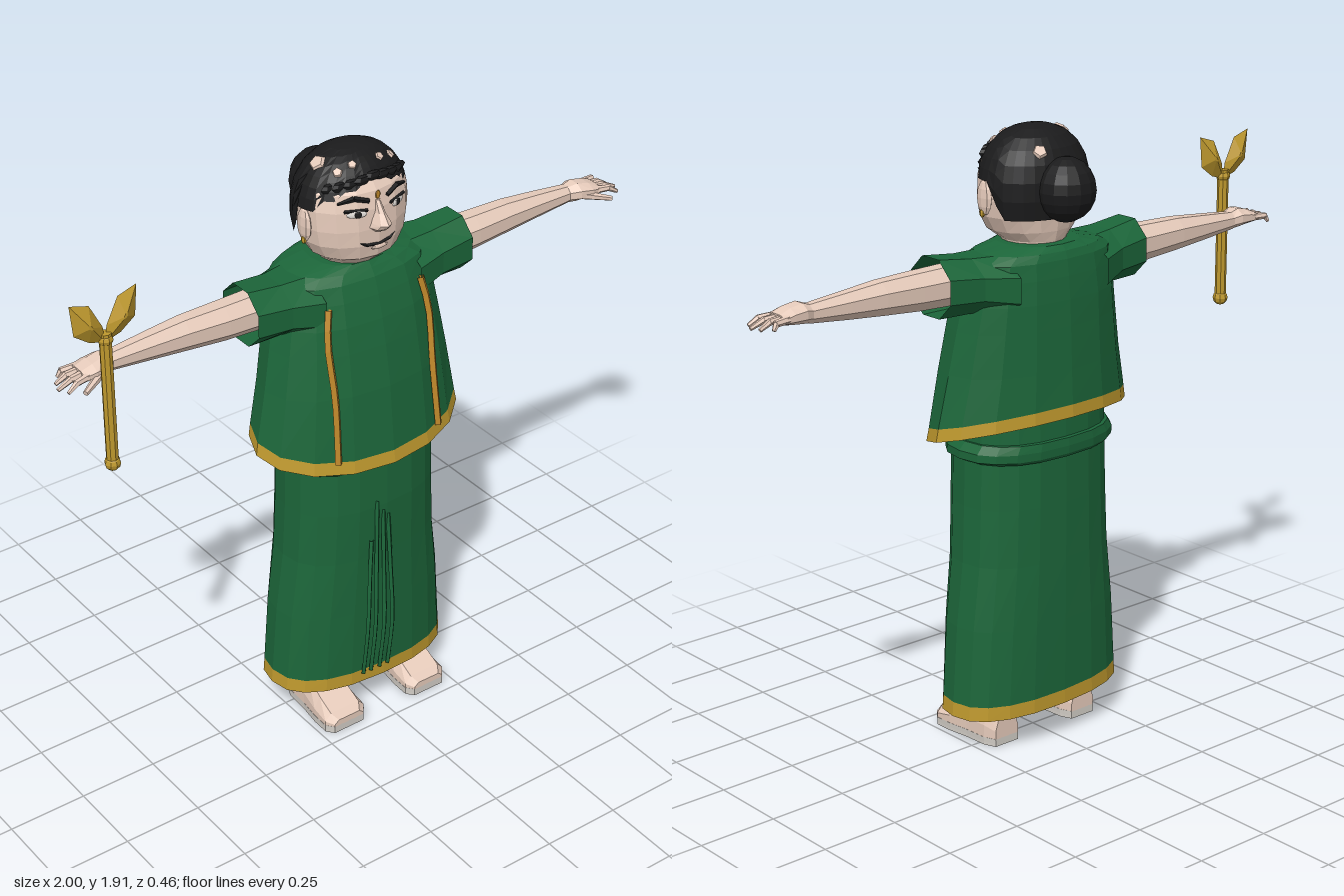
import * as THREE from 'three';

const mat = (name, color) => new THREE.MeshStandardMaterial({ name, color, side: THREE.DoubleSide });
const green = mat('green cloth', 0x1c663a), gold = mat('gold', 0xbf992e);
const bronze = mat('orange gold thread', 0xbd862a), skin = mat('skin', 0xe6cbbb);
const hairBlack = mat('hair black', 0x1b1b1c), white = mat('eye white', 0xf0ebe6);
const sole = mat('sole grey', 0xd2cdc6);

const spow = (v, p) => Math.sign(v) * Math.abs(v) ** p;
const V = (x, y, z) => new THREE.Vector3(x, y, z);

// Faceted mesh from any geometry
function add(parent, name, geo, material) {
  const g = geo.index ? geo.toNonIndexed() : geo;
  g.computeVertexNormals();
  const m = new THREE.Mesh(g, material);
  m.name = name;
  parent.add(m);
  return m;
}

// Surface through closed rings of points, optionally capped
function loft(rings, caps = false) {
  const pos = [], n = rings[0].length;
  const tri = (...ps) => ps.forEach(p => pos.push(p.x, p.y, p.z));
  for (let i = 0; i < rings.length - 1; i++)
    for (let j = 0; j < n; j++) {
      const k = (j + 1) % n, a = rings[i], b = rings[i + 1];
      tri(a[j], a[k], b[k]);
      tri(a[j], b[k], b[j]);
    }
  if (caps) [rings[0], rings.at(-1)].forEach((r, end) => {
    const c = r.reduce((s, p) => s.add(p), V(0, 0, 0)).divideScalar(n);
    for (let j = 0; j < n; j++) {
      const k = (j + 1) % n;
      end ? tri(c, r[j], r[k]) : tri(c, r[k], r[j]);
    }
  });
  const g = new THREE.BufferGeometry();
  g.setAttribute('position', new THREE.Float32BufferAttribute(pos, 3));
  return g;
}

// Upright ring: half width rx, depth from z0 to z1; y may depend on x and z
function ringY(y, rx, z0, z1, n = 16, p = 1) {
  return Array.from({ length: n }, (_, j) => {
    const a = j / n * Math.PI * 2;
    const x = rx * spow(Math.sin(a), p), z = (z0 + z1) / 2 + (z1 - z0) / 2 * spow(Math.cos(a), p);
    return V(x, typeof y === 'function' ? y(x, z) : y, z);
  });
}

// Ring across the x axis, for limbs
function ringX([x, yc, ry, zc, rz], n = 8) {
  return Array.from({ length: n }, (_, j) => {
    const a = (j + 0.5) / n * Math.PI * 2;
    return V(x, yc + ry * Math.cos(a), zc + rz * Math.sin(a));
  });
}

function rod(parent, name, a, b, r0, r1, material, sides = 6) {
  const m = add(parent, name, new THREE.CylinderGeometry(r1, r0, a.distanceTo(b), sides), material);
  m.position.copy(a).lerp(b, 0.5);
  m.quaternion.setFromUnitVectors(V(0, 1, 0), b.clone().sub(a).normalize());
  return m;
}

function blob(parent, name, r, pos, scale, material, w = 10, h = 8) {
  const m = add(parent, name, new THREE.SphereGeometry(r, w, h), material);
  m.position.set(...pos);
  m.scale.set(...scale);
  return m;
}

function makeClothes(root) {
  // Skirt with a gold border, running up under the tunic
  const S = (y, rx, z0, z1) => ringY(y, rx, z0, z1, 20, 0.82);
  const tilt = h => x => h - x * 0.025;
  const edge = S(tilt(0.165), 0.308, -0.15, 0.182);
  add(root, 'skirt', loft([edge, S(0.4, 0.29, -0.152, 0.186), S(0.6, 0.264, -0.153, 0.19),
    S(0.78, 0.255, -0.153, 0.195), S(0.98, 0.25, -0.15, 0.19), S(1.15, 0.25, -0.145, 0.17)]), green);
  add(root, 'skirtBorder', loft([S(tilt(0.12), 0.312, -0.15, 0.182), edge]), gold);
  add(root, 'waistband', loft([S(0.925, 0.255, -0.158, 0.193), S(0.935, 0.275, -0.163, 0.197),
    S(0.96, 0.275, -0.165, 0.197), S(0.985, 0.255, -0.163, 0.19), S(0.986, 0.24, -0.14, 0.17)]), green);

  // Narrow pleats at the front of the skirt
  [[-0.035, 0.8], [-0.012, 0.76], [0.006, 0.74], [-0.055, 0.66]].forEach(([x, top], i) => {
    const low = x * 1.45 + (i === 2 ? 0.005 : 0);
    const curve = new THREE.CatmullRomCurve3([V(x, top, 0.19), V((x + low) / 2, 0.55, 0.2),
      V(low, 0.35, 0.208), V(low, 0.16, 0.185)]);
    add(root, 'pleat', new THREE.TubeGeometry(curve, 10, 0.008, 4), green);
  });

  // Loose tunic, boxier at the shoulders, its hem rising towards the back
  const T = (y, rx, z0, z1, p = 0.85) => ringY(y, rx, z0, z1, 16, p);
  const hem = h => (x, z) => h - z * 0.26;
  const trim = T(hem(1.045), 0.349, -0.18, 0.225, 1);
  add(root, 'tunic', loft([trim, T(1.2, 0.315, -0.175, 0.203, 0.95), T(1.33, 0.29, -0.17, 0.18, 0.9),
    T(1.41, 0.274, -0.166, 0.163), T(1.48, 0.262, -0.16, 0.143), T(1.53, 0.254, -0.153, 0.125),
    T(1.553, 0.21, -0.145, 0.108), T(1.57, 0.125, -0.13, 0.095)], true), green);
  add(root, 'tunicBorder', loft([T(hem(1.006), 0.356, -0.182, 0.232, 1), trim]), gold);

  for (const s of [1, -1]) {
    const curve = new THREE.CatmullRomCurve3([V(s * 0.185, 0.995, 0.2), V(s * 0.178, 1.2, 0.176),
      V(s * 0.182, 1.38, 0.145), V(s * 0.165, 1.475, 0.126)]);
    add(root, 'tunicPiping', new THREE.TubeGeometry(curve, 8, 0.012, 4), bronze);
  }
}

function makeArm(root, side) {
  const arm = new THREE.Group();
  arm.name = side > 0 ? 'leftArm' : 'rightArm';
  arm.scale.x = side;
  root.add(arm);
  add(arm, 'sleeve', loft([[0.17, 1.46, 0.1, -0.01, 0.145], [0.27, 1.473, 0.088, 0, 0.11],
    [0.385, 1.48, 0.095, 0.005, 0.096]].map(r => ringX(r))), green);
  add(arm, 'forearm', loft([[0.28, 1.48, 0.065, 0, 0.062], [0.45, 1.482, 0.06, 0, 0.057],
    [0.58, 1.486, 0.053, -0.002, 0.05], [0.7, 1.486, 0.042, -0.002, 0.04],
    [0.83, 1.486, 0.029, 0, 0.029]].map(r => ringX(r)), true), skin);
  add(arm, 'palm', loft([[0.82, 1.486, 0.028, 0, 0.028], [0.85, 1.492, 0.032, 0.006, 0.046],
    [0.89, 1.49, 0.026, 0.01, 0.05], [0.925, 1.486, 0.016, 0.008, 0.046]].map(r => ringX(r)), true), skin);
  // Four fingers and a thumb
  for (let i = 0; i < 4; i++) {
    const z = -0.025 + i * 0.022, len = [0.965, 0.99, 1, 0.985][i];
    rod(arm, 'finger', V(0.91, 1.488, z), V(0.958, 1.486, z * 1.25), 0.012, 0.01, skin);
    rod(arm, 'fingertip', V(0.953, 1.487, z * 1.25), V(len, 1.468, z * 1.4), 0.01, 0.006, skin);
  }
  rod(arm, 'thumb', V(0.86, 1.485, 0.035), V(0.945, 1.465, 0.08), 0.015, 0.008, skin);
}

function makeFoot(root, s) {
  // Sections from heel to toe: z, half width, top
  const sect = [[-0.058, 0.045, 0.09], [-0.02, 0.06, 0.125], [0.06, 0.064, 0.125],
    [0.13, 0.073, 0.09], [0.19, 0.074, 0.062], [0.214, 0.055, 0.045]];
  const slice = (bottom, cap) => loft(sect.map(([z, w, top]) => {
    const t = Math.min(top, cap), mid = bottom + (t - bottom) * 0.4, x = s * 0.157;
    const k = cap < 0.1 ? 1.01 : 0.72;
    return [V(x + w, bottom, z), V(x + w, mid, z), V(x + w * k, t, z),
      V(x - w * k, t, z), V(x - w, mid, z), V(x - w, bottom, z)];
  }), true);
  add(root, 'foot', slice(0.024, 1), skin);
  add(root, 'sole', slice(0, 0.025), sole);
  rod(root, 'leg', V(s * 0.157, 0.08, 0.01), V(s * 0.15, 0.35, 0.01), 0.054, 0.065, skin, 10);
}

function makeHead(root) {
  const head = new THREE.Group();
  head.name = 'head';
  root.add(head);
  add(head, 'face', loft([[1.545, 0.09, -0.09, 0.07], [1.575, 0.1, -0.1, 0.1], [1.605, 0.138, -0.108, 0.135],
    [1.65, 0.163, -0.115, 0.145], [1.7, 0.172, -0.12, 0.147], [1.76, 0.174, -0.125, 0.143], [1.81, 0.163, -0.12, 0.13],
    [1.84, 0.135, -0.11, 0.107], [1.87, 0.09, -0.07, 0.065]].map(r => ringY(...r)), true), skin);

  // Hair cap whose lower edge frames the forehead and rises over the ears
  const n = 32, rings = [], power = 0.42;
  for (let i = 0; i <= 7; i++) rings.push(Array.from({ length: n }, (_, j) => {
    const a = j / n * Math.PI * 2, b = Math.min(a, Math.PI * 2 - a);
    const low = b < 0.3 ? 1.84 : b < 0.75 ? 1.82 : b < 1.15 ? 1.795 : b < 1.7 ? 1.76 : b < 1.9 ? 1.69 : 1.65;
    const y = low + (1.907 - low) * Math.sin(i / 7 * Math.PI / 2);
    const u = Math.max(0, (y - 1.74) / 0.168);
    const f = (1 - u * u) ** power * (y < 1.7 ? 0.94 : 1);
    return V(0.18 * f * Math.sin(a), y, -0.003 + 0.144 * f * Math.cos(a));
  }));
  add(head, 'hair', loft(rings), hairBlack);
  add(head, 'hairCrown', loft([rings[7], rings[7].map(p => V(p.x * 0.1, 1.909, p.z * 0.1))], true), hairBlack);
  blob(head, 'hairBun', 0.096, [0, 1.735, -0.145], [0.95, 1, 0.93], hairBlack, 14, 10);
  // Wavy locks along the hairline
  for (let i = -4; i <= 4; i++) {
    const a = i * 0.23;
    blob(head, 'hairLock', 0.024, [0.15 * Math.sin(a), 1.85 - Math.abs(i) * 0.006, 0.112 * Math.cos(a)],
      [1.2, 0.65, 0.5], hairBlack, 6, 4);
  }
  // Scalp showing through the hair: x, z, radius
  for (const [x, z, r] of [[-0.112, 0.0, 0.027], [0.065, -0.105, 0.024], [-0.09, 0.067, 0.016],
    [-0.045, 0.075, 0.015], [0.05, 0.075, 0.015], [0.1, 0.06, 0.015]]) {
    const f = Math.hypot(x / 0.18, (z + 0.003) / 0.144);
    const up = Math.sqrt(1 - f ** (1 / power));
    const patch = add(head, 'scalpPatch', new THREE.CylinderGeometry(r * 0.8, r, 0.009, 5), skin);
    patch.position.set(x, 1.74 + 0.168 * up, z);
    patch.quaternion.setFromUnitVectors(V(0, 1, 0), V(x * 4, 0.55, z * 5).normalize());
  }

  add(head, 'nose', loft([ringY(1.692, 0.022, 0.1, 0.158, 8), ringY(1.705, 0.033, 0.1, 0.178, 8),
    ringY(1.72, 0.027, 0.1, 0.191, 8), ringY(1.75, 0.015, 0.1, 0.168, 8), ringY(1.785, 0.01, 0.1, 0.143, 8)], true), skin);

  for (const s of [1, -1]) {
    const eye = blob(head, 'eye', 0.03, [s * 0.072, 1.757, 0.134], [1, 0.4, 0.14], white);
    const iris = blob(head, 'iris', 0.011, [s * 0.07, 1.757, 0.139], [1, 1, 0.3], hairBlack, 8, 6);
    eye.rotation.y = iris.rotation.y = s * 0.42;
    rod(head, 'eyelid', V(s * 0.04, 1.765, 0.143), V(s * 0.105, 1.768, 0.119), 0.005, 0.005, hairBlack, 4);
    rod(head, 'innerBrow', V(s * 0.032, 1.79, 0.138), V(s * 0.075, 1.803, 0.124), 0.007, 0.008, hairBlack, 4);
    rod(head, 'outerBrow', V(s * 0.075, 1.803, 0.124), V(s * 0.118, 1.79, 0.104), 0.008, 0.004, hairBlack, 4);
    rod(head, 'mouth', V(0, 1.648, 0.145), V(s * 0.04, 1.651, 0.14), 0.005, 0.005, hairBlack, 4);
    rod(head, 'mouthCorner', V(s * 0.04, 1.651, 0.14), V(s * 0.062, 1.662, 0.133), 0.005, 0.003, hairBlack, 4);
    blob(head, 'ear', 0.053, [s * 0.17, 1.708, 0.018], [0.26, 1, 0.6], skin, 8, 6);
    blob(head, 'earring', 0.01, [s * 0.176, 1.662, 0.022], [0.7, 1.3, 1], gold, 6, 5);
  }
  blob(head, 'lips', 0.03, [0, 1.64, 0.146], [1, 0.25, 0.2], skin, 8, 6);
  blob(head, 'foreheadMark', 0.01, [0, 1.8, 0.136], [0.9, 1.3, 0.4], bronze, 8, 6);
}

function makeStaff(root) {
  const staff = new THREE.Group();
  staff.name = 'staff';
  staff.position.set(-0.872, 0, 0.077);
  root.add(staff);
  rod(staff, 'shaft', V(0, 1.2, 0), V(0, 1.63, 0), 0.018, 0.018, gold, 8);
  blob(staff, 'shaftKnob', 0.024, [0, 1.21, 0], [1, 1, 1], gold, 8, 6);
  blob(staff, 'shaftCollar', 0.023, [0, 1.61, 0], [1, 0.8, 1], gold, 8, 6);
  // Two faceted leaves in a V, ridged along the middle
  const outline = [[0, 1.6], [0.05, 1.615], [0.097, 1.65], [0.106, 1.747], [0.045, 1.728], [0.006, 1.65]];
  for (const s of [1, -1]) {
    const flat = outline.map(([x, y]) => V(s * x, y, 0));
    const ridge = d => flat.map(p => V(s * 0.055, 1.675, d).lerp(V(p.x, p.y, d), 0.12));
    add(staff, 'leaf', loft([ridge(-0.024), flat, ridge(0.024)], true), gold);
  }
}

export function createModel() {
  const root = new THREE.Group();
  root.name = 'figure';
  makeClothes(root);
  for (const s of [1, -1]) {
    makeArm(root, s);
    makeFoot(root, s);
  }
  makeHead(root);
  makeStaff(root);
  return root;
}
